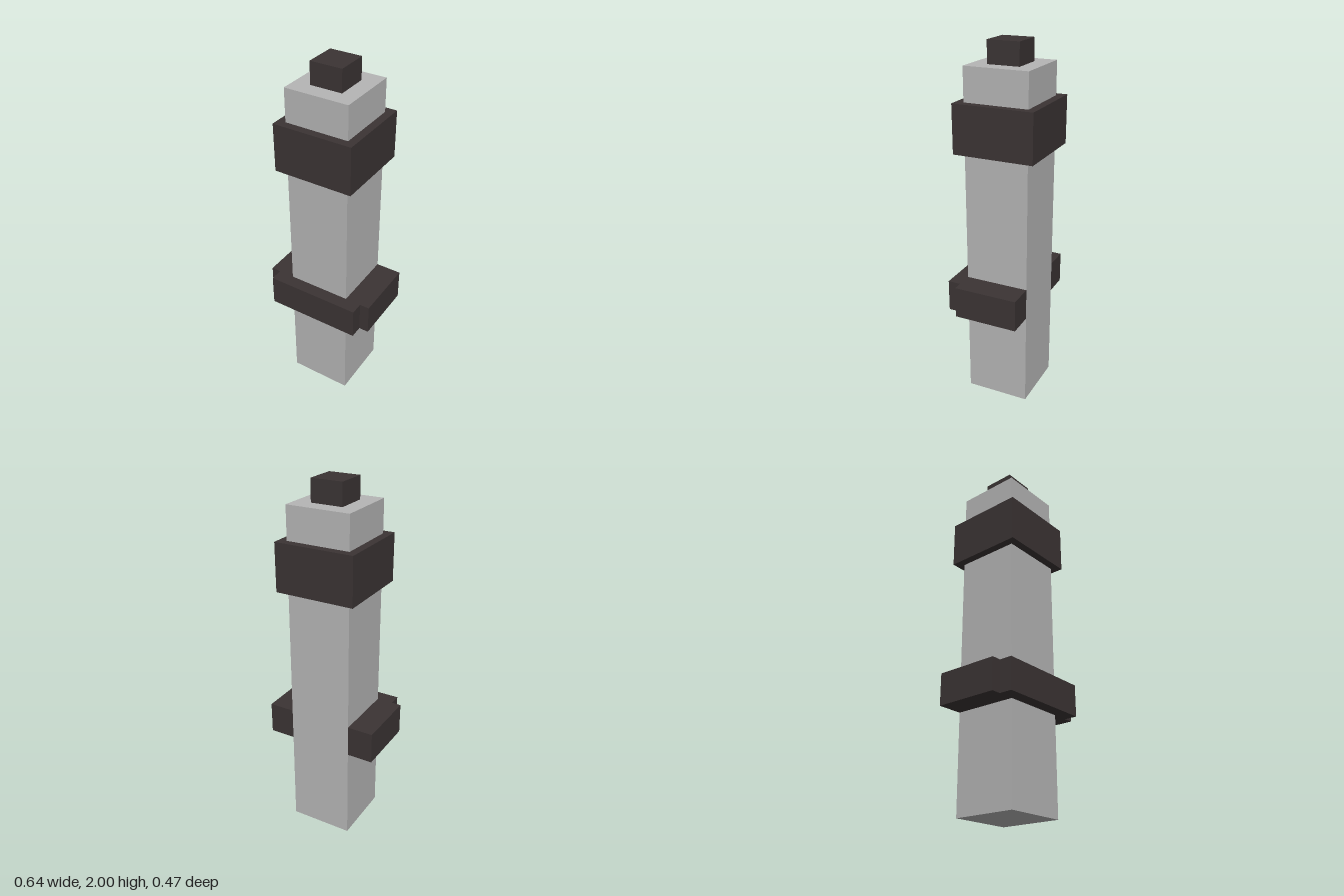
import * as THREE from 'three';

export function createModel() {
  const model = new THREE.Group();
  model.name = 'bandedPillar';

  const grey = new THREE.MeshStandardMaterial({ color: 0xb5b5b5 });
  grey.name = 'light grey';
  const dark = new THREE.MeshStandardMaterial({ color: 0x3b3434 });
  dark.name = 'dark charcoal';

  // Box given by its lower and upper corners
  function block(name, material, [x0, y0, z0], [x1, y1, z1]) {
    const mesh = new THREE.Mesh(new THREE.BoxGeometry(x1 - x0, y1 - y0, z1 - z0), material);
    mesh.position.set((x0 + x1) / 2, (y0 + y1) / 2, (z0 + z1) / 2);
    mesh.name = name;
    model.add(mesh);
  }

  // Square shaft with a collar and a small tip
  block('shaft', grey, [-0.178, 0, -0.193], [0.178, 1.88, 0.163]);
  block('collar', dark, [-0.222, 1.433, -0.238], [0.222, 1.698, 0.208]);
  block('tip', dark, [-0.089, 1.88, -0.104], [0.089, 2, 0.074]);

  // Lower bracket: front bar and two side blocks, open at the back
  block('bracketFront', dark, [-0.268, 0.54, 0.163], [0.268, 0.716, 0.235]);
  block('bracketLeft', dark, [0.178, 0.54, -0.193], [0.322, 0.716, 0.163]);
  block('bracketRight', dark, [-0.322, 0.54, -0.193], [-0.178, 0.716, 0.163]);

  return model;
}
